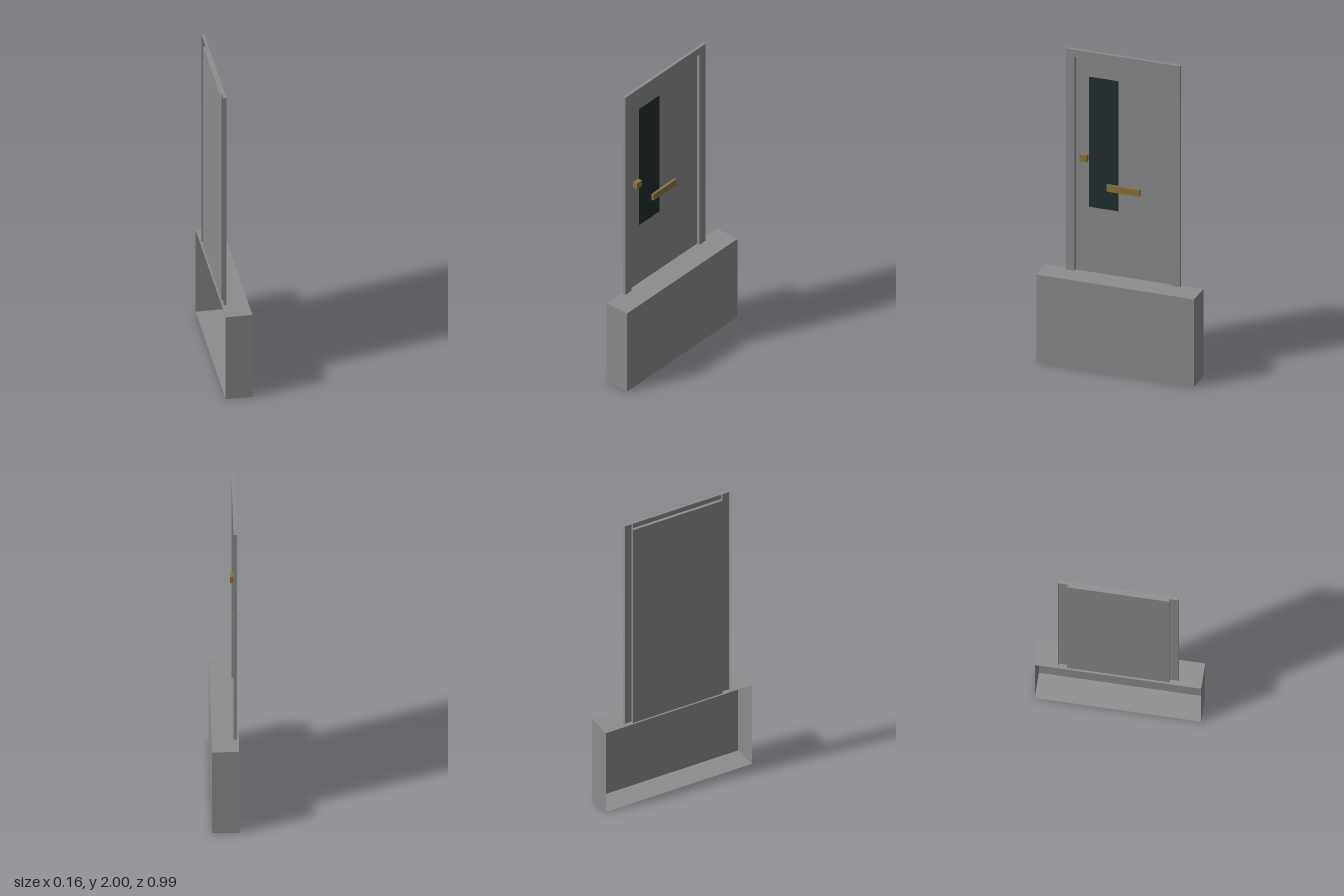
import * as THREE from 'three';

const mat = (name, color, side = THREE.FrontSide) => {
  const m = new THREE.MeshStandardMaterial({ color, side });
  m.name = name;
  return m;
};

// Box from min to max corner; its back (-x) can be left open.
function block(name, material, [x0, y0, z0], [x1, y1, z1], openBack = false) {
  const g = new THREE.BoxGeometry(x1 - x0, y1 - y0, z1 - z0);
  g.translate((x0 + x1) / 2, (y0 + y1) / 2, (z0 + z1) / 2);
  if (openBack) {
    const index = Array.from(g.index.array);
    index.splice(6, 6);
    g.setIndex(index);
    g.clearGroups();
  }
  const mesh = new THREE.Mesh(g, material);
  mesh.name = name;
  return mesh;
}

// Flat panel facing +x.
function panel(name, material, x, [y0, y1], [z0, z1]) {
  const g = new THREE.PlaneGeometry(z1 - z0, y1 - y0);
  g.rotateY(Math.PI / 2);
  g.translate(x, (y0 + y1) / 2, (z0 + z1) / 2);
  const mesh = new THREE.Mesh(g, material);
  mesh.name = name;
  return mesh;
}

export function createModel() {
  const grey = mat('grey paint', 0x8c8c8c, THREE.DoubleSide);
  const brass = mat('brass', 0x8a7440, THREE.DoubleSide);
  const glass = mat('dark glass', 0x222e2e);

  const stepTop = 0.567, back = -0.069, front = -0.05;
  const outer = 0.358, inner = 0.304, headY = 1.953;
  const model = new THREE.Group();
  model.name = 'door on step';

  // Hollow step, open at the back
  model.add(block('step', grey, [-0.08, 0, -0.495], [0.08, stepTop, 0.495], true));

  // Door frame: two jambs and a header
  const frame = new THREE.Group();
  frame.name = 'doorFrame';
  frame.add(
    block('leftJamb', grey, [back, stepTop, inner], [front, 2, outer], true),
    block('rightJamb', grey, [back, stepTop, -outer], [front, 2, -inner], true),
    block('header', grey, [back, headY, -inner], [front, 2, inner], true),
  );
  model.add(frame);

  // Door leaf with its window
  model.add(panel('doorLeaf', grey, back, [stepTop, headY], [-inner, inner]));
  model.add(panel('window', glass, back + 0.002, [0.988, 1.832], [0.034, 0.219]));

  // Brass fittings
  model.add(block('doorKnob', brass, [back, 1.287, 0.224], [-0.04, 1.33, 0.269], true));
  model.add(block('letterSlot', brass, [back, 1.111, -0.102], [-0.053, 1.154, 0.106], true));

  return model;
}
